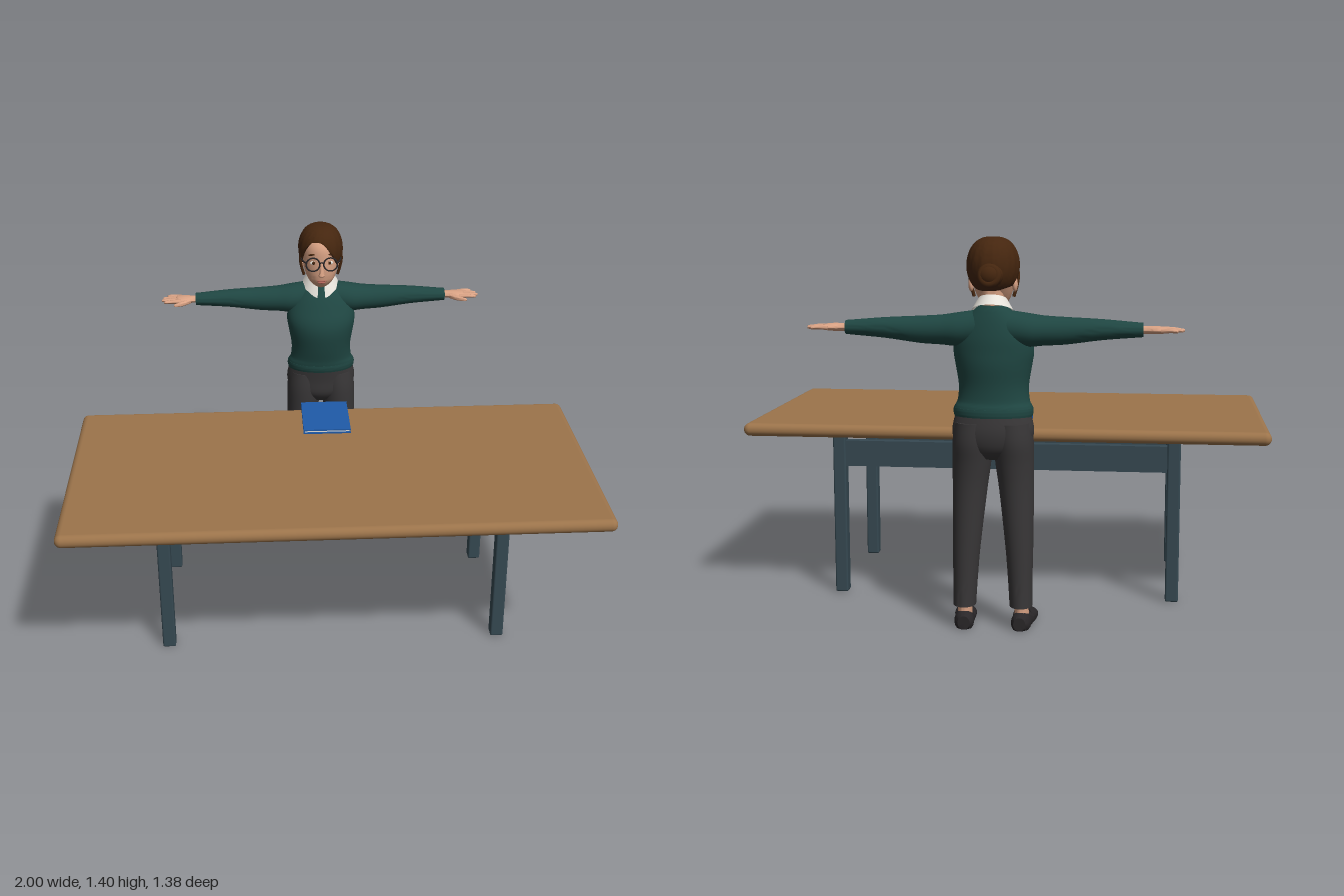
import * as THREE from 'three';
import { toCreasedNormals } from 'three/addons/utils/BufferGeometryUtils.js';
import { RoundedBoxGeometry } from 'three/addons/geometries/RoundedBoxGeometry.js';

const mat = (name, color, side = THREE.FrontSide) => {
  const m = new THREE.MeshStandardMaterial({ color, side });
  m.name = name;
  return m;
};

// Smooth loft through elliptical sections [x, y, z, ru, rv] along axis 0 (x), 1 (y) or 2 (z).
// v is the next axis in cyclic order, u the one after; sections run in the + direction.
function loft(axis, sections, segs = 28, steps = 4) {
  const v = (axis + 1) % 3, u = (axis + 2) % 3;
  const rows = [];
  const at = (i) => sections[Math.max(0, Math.min(sections.length - 1, i))];
  for (let i = 0; i < sections.length - 1; i++) {
    for (let k = 0; k < steps; k++) {
      const t = k / steps;
      rows.push(at(i).map((b, d) => {
        const a = at(i - 1)[d], c = at(i + 1)[d], e = at(i + 2)[d];
        return b + 0.5 * t * (c - a + t * (2 * a - 5 * b + 4 * c - e + t * (3 * (b - c) + e - a)));
      }));
    }
  }
  rows.push(at(sections.length));
  const cap = (r) => [r[0], r[1], r[2], r[3] * 0.01, r[4] * 0.01];
  rows.unshift(cap(rows[0]));
  rows.push(cap(rows[rows.length - 1]));
  const pos = [], index = [];
  rows.forEach((r, i) => {
    for (let j = 0; j < segs; j++) {
      const a = (j / segs) * Math.PI * 2, p = [r[0], r[1], r[2]];
      p[u] += r[3] * Math.cos(a);
      p[v] += r[4] * Math.sin(a);
      p[1] = Math.max(0, p[1]);
      pos.push(...p);
      if (i < rows.length - 1) {
        const k = (j + 1) % segs, A = i * segs + j, B = i * segs + k;
        index.push(A, A + segs, B, B, A + segs, B + segs);
      }
    }
  });
  const g = new THREE.BufferGeometry();
  g.setAttribute('position', new THREE.Float32BufferAttribute(pos, 3));
  g.setIndex(index);
  return toCreasedNormals(g, 0.9);
}

const tube = (points, r) => new THREE.TubeGeometry(
  new THREE.CatmullRomCurve3(points.map((p) => new THREE.Vector3(...p))), 12, r, 8);

// Swept-back hair shell with an off-centre parting and an open face
function hairShell() {
  const g = new THREE.SphereGeometry(1, 72, 32);
  const p = g.attributes.position, uv = g.attributes.uv;
  for (let i = 0; i < p.count; i++) {
    const phi = uv.getX(i) * Math.PI * 2, v = 1 - uv.getY(i);
    const sx = -Math.cos(phi), sz = Math.sin(phi);
    const a = Math.abs(Math.atan2(sx, sz) + 0.25);
    const edge = 1.05 + 1.3 * THREE.MathUtils.smoothstep(a, 0.1, 1.5) + 0.25 * THREE.MathUtils.smoothstep(a, 1.5, 2.8);
    const th = edge * Math.min(1, v / 0.9);
    const tuck = 1 - 0.2 * Math.max(0, (v - 0.9) / 0.1);
    const ripple = 1 + 0.014 * Math.cos(phi * 18 + v * 5) * Math.sin(Math.PI * v);
    const r = Math.pow(Math.sin(th), 0.75) * tuck * ripple;
    p.setXYZ(i, sx * r * 0.092, 1.3 + 0.1 * Math.cos(th), -0.556 + sz * r * 0.11);
  }
  return toCreasedNormals(g, 1.2);
}

// Shirt collar: flared open band, higher at the nape, dropping to two points in front
function collarBand() {
  const g = new THREE.CylinderGeometry(0.05, 0.074, 0.042, 40, 3, true, 0.22, Math.PI * 2 - 0.44);
  const p = g.attributes.position;
  for (let i = 0; i < p.count; i++) {
    const x = p.getX(i), y = p.getY(i), z = p.getZ(i);
    const point = y < 0 && z > 0.055 ? (z - 0.055) * 0.7 : 0;
    p.setXYZ(i, x, y + 1.163 - z * 0.38 - point, z * 1.14 - 0.566);
  }
  g.computeVertexNormals();
  return g;
}

export function createModel() {
  const model = new THREE.Group();
  const wood = mat('wood', 0x9c744b), metal = mat('blueGreyMetal', 0x364952);
  const skin = mat('skin', 0xd9a284), hair = mat('brownHair', 0x45260f, THREE.DoubleSide);
  const knit = mat('greenKnit', 0x1f4642), cloth = mat('charcoalCloth', 0x383637);
  const dark = mat('darkLeather', 0x2a2729), white = mat('white', 0xeeeae2, THREE.DoubleSide);
  const blue = mat('blueCover', 0x1f5ba9), lip = mat('lipRose', 0xb3655a);

  const table = new THREE.Group(), book = new THREE.Group(), woman = new THREE.Group();
  table.name = 'table'; book.name = 'book'; woman.name = 'woman';
  model.add(table, book, woman);
  const add = (group, name, geo, material, x = 0, y = 0, z = 0) => {
    const m = new THREE.Mesh(geo, material);
    m.name = name;
    m.position.set(x, y, z);
    group.add(m);
    return m;
  };
  const ball = (name, material, x, y, z, rx, ry, rz) => {
    const m = add(woman, name, new THREE.SphereGeometry(1, 24, 16), material, x, y, z);
    m.scale.set(rx, ry, rz);
    return m;
  };

  // Table
  add(table, 'tableTop', new RoundedBoxGeometry(2, 0.05, 1, 5, 0.0245), wood, 0, 0.655, 0.19);
  for (const z of [0.38, -0.195]) {
    for (const x of [-0.645, 0.645]) {
      add(table, 'tableLeg', new RoundedBoxGeometry(0.05, 0.635, 0.05, 2, 0.007), metal, x, 0.3175, z);
    }
    add(table, 'tableRail', new THREE.BoxGeometry(1.25, 0.1, 0.036), metal, 0, 0.555, z);
  }

  // Book
  for (const y of [0.6835, 0.6965]) {
    add(book, 'bookCover', new THREE.BoxGeometry(0.19, 0.006, 0.26), blue, 0, y, -0.195);
  }
  add(book, 'bookPages', new THREE.BoxGeometry(0.18, 0.008, 0.25), white, 0, 0.69, -0.195);
  add(book, 'bookSpine', new THREE.BoxGeometry(0.004, 0.012, 0.26), blue, -0.093, 0.69, -0.195);

  // Torso and hips
  add(woman, 'sweater', loft(1, [
    [0, 0.772, -0.555, 0.137, 0.088], [0, 0.8, -0.553, 0.141, 0.092], [0, 0.825, -0.547, 0.129, 0.09],
    [0, 0.88, -0.54, 0.125, 0.097], [0, 0.95, -0.538, 0.136, 0.108], [0, 1.0, -0.541, 0.143, 0.106],
    [0, 1.05, -0.552, 0.135, 0.095], [0, 1.1, -0.562, 0.11, 0.079], [0, 1.14, -0.572, 0.072, 0.06],
    [0, 1.163, -0.575, 0.046, 0.048]], 40), knit);
  add(woman, 'sweaterHem', loft(1, [
    [0, 0.77, -0.555, 0.139, 0.09], [0, 0.785, -0.554, 0.143, 0.094], [0, 0.8, -0.553, 0.142, 0.093]], 40), knit);
  add(woman, 'trouserHips', loft(1, [
    [0, 0.62, -0.562, 0.07, 0.05], [0, 0.66, -0.564, 0.128, 0.08], [0, 0.72, -0.567, 0.146, 0.087],
    [0, 0.785, -0.557, 0.133, 0.085]], 40), cloth);

  for (const s of [-1, 1]) {
    // Arms
    const along = (list) => {
      const m = list.map(([x, ...rest]) => [s * x, ...rest]);
      return loft(0, s > 0 ? m : m.reverse());
    };
    add(woman, 'sleeve', along([
      [0.05, 1.085, -0.57, 0.062, 0.062], [0.12, 1.077, -0.568, 0.066, 0.06], [0.18, 1.075, -0.568, 0.057, 0.053],
      [0.26, 1.075, -0.568, 0.048, 0.048], [0.38, 1.08, -0.567, 0.04, 0.037], [0.5, 1.08, -0.564, 0.031, 0.027],
      [0.525, 1.08, -0.564, 0.029, 0.025]]), knit);
    add(woman, 'palm', along([
      [0.505, 1.08, -0.564, 0.02, 0.015], [0.54, 1.08, -0.563, 0.023, 0.014], [0.57, 1.08, -0.563, 0.035, 0.014],
      [0.6, 1.08, -0.565, 0.035, 0.011], [0.608, 1.08, -0.565, 0.031, 0.007]]), skin);
    [[0.656, -0.534, -0.53], [0.667, -0.554, -0.553], [0.662, -0.574, -0.576], [0.645, -0.592, -0.602]].forEach(([tip, z0, z1]) =>
      add(woman, 'finger', along([
        [0.585, 1.08, z0, 0.009, 0.009], [0.62, 1.081, (z0 + z1) / 2, 0.0085, 0.008],
        [tip - 0.005, 1.079, z1, 0.0065, 0.006], [tip, 1.079, z1, 0.003, 0.003]]), skin));
    add(woman, 'thumb', along([
      [0.545, 1.078, -0.55, 0.013, 0.011], [0.575, 1.075, -0.525, 0.012, 0.01],
      [0.605, 1.074, -0.508, 0.009, 0.007], [0.615, 1.074, -0.505, 0.004, 0.003]]), skin);

    // Legs and feet
    add(woman, 'trouserLeg', loft(1, [
      [s * 0.102, 0.085, -0.587, 0.041, 0.053], [s * 0.099, 0.18, -0.583, 0.044, 0.054], [s * 0.095, 0.3, -0.577, 0.05, 0.058],
      [s * 0.084, 0.5, -0.563, 0.062, 0.069], [s * 0.077, 0.6, -0.562, 0.069, 0.077],
      [s * 0.073, 0.68, -0.566, 0.072, 0.085], [s * 0.066, 0.75, -0.567, 0.07, 0.08]]), cloth);
    add(woman, 'ankle', loft(1, [
      [s * 0.104, 0.03, -0.57, 0.027, 0.045], [s * 0.103, 0.06, -0.575, 0.026, 0.038],
      [s * 0.102, 0.11, -0.587, 0.025, 0.028]]), skin);
    const shoe = [[-0.632, 0.025, 0.025, 0.022], [-0.605, 0.024, 0.042, 0.035], [-0.56, 0.022, 0.038, 0.035],
      [-0.51, 0.019, 0.034, 0.039], [-0.46, 0.014, 0.028, 0.039], [-0.425, 0.011, 0.02, 0.029], [-0.408, 0.01, 0.01, 0.012]];
    add(woman, 'shoe', loft(2, shoe.map(([z, y, ry, rx]) => [s * (0.103 + (z + 0.6) * 0.08), y, z, ry, rx])), dark);
    add(woman, 'shoeStrap', tube([[s * 0.073, 0.03, -0.545], [s * 0.085, 0.058, -0.54],
      [s * 0.106, 0.066, -0.537], [s * 0.128, 0.058, -0.54], [s * 0.14, 0.03, -0.545]], 0.006), dark);

    // Face sides, glasses and loose strands
    ball('ear', skin, s * 0.077, 1.235, -0.562, 0.01, 0.026, 0.016);
    ball('eyeWhite', white, s * 0.033, 1.262, -0.468, 0.015, 0.008, 0.004);
    ball('iris', hair, s * 0.033, 1.262, -0.465, 0.0065, 0.007, 0.0025);
    ball('eyebrow', hair, s * 0.035, 1.297, -0.471, 0.02, 0.004, 0.006).rotation.z = -s * 0.12;
    add(woman, 'glassesRim', new THREE.TorusGeometry(0.028, 0.0032, 8, 32), dark, s * 0.036, 1.261, -0.449);
    add(woman, 'glassesTemple', tube([[s * 0.064, 1.268, -0.449], [s * 0.079, 1.268, -0.49], [s * 0.082, 1.262, -0.565]], 0.003), dark);
    add(woman, 'looseStrand', tube([[s * 0.07, 1.32, -0.51], [s * 0.085, 1.27, -0.525],
      [s * 0.081, 1.23, -0.53], [s * 0.07, 1.19, -0.535]], 0.006), hair);
  }

  // Neck, head and face
  add(woman, 'neck', loft(1, [[0, 1.09, -0.572, 0.046, 0.045], [0, 1.15, -0.568, 0.04, 0.043], [0, 1.23, -0.565, 0.042, 0.048]]), skin);
  add(woman, 'head', loft(1, [
    [0, 1.146, -0.515, 0.016, 0.02], [0, 1.156, -0.52, 0.034, 0.038], [0, 1.182, -0.523, 0.055, 0.058],
    [0, 1.22, -0.535, 0.069, 0.076], [0, 1.265, -0.55, 0.077, 0.092], [0, 1.32, -0.553, 0.075, 0.09],
    [0, 1.36, -0.56, 0.055, 0.066], [0, 1.378, -0.56, 0.02, 0.025]], 36), skin);
  add(woman, 'nose', loft(1, [
    [0, 1.202, -0.463, 0.008, 0.006], [0, 1.21, -0.458, 0.0135, 0.014], [0, 1.222, -0.458, 0.01, 0.011],
    [0, 1.265, -0.464, 0.006, 0.007]], 16), skin);
  ball('upperLip', lip, 0, 1.184, -0.466, 0.02, 0.0045, 0.006);
  ball('lowerLip', lip, 0, 1.177, -0.467, 0.016, 0.005, 0.006);
  add(woman, 'glassesBridge', tube([[-0.009, 1.266, -0.448], [0, 1.27, -0.445], [0.009, 1.266, -0.448]], 0.003), dark);

  // Hair and collar
  add(woman, 'hair', hairShell(), hair);
  ball('hairBun', hair, 0, 1.27, -0.648, 0.046, 0.043, 0.042);
  const coil = add(woman, 'bunCoil', new THREE.TorusGeometry(0.028, 0.014, 10, 28), hair, 0, 1.27, -0.668);
  coil.rotation.x = 0.15;
  add(woman, 'shirtCollar', collarBand(), white);
  return model;
}
